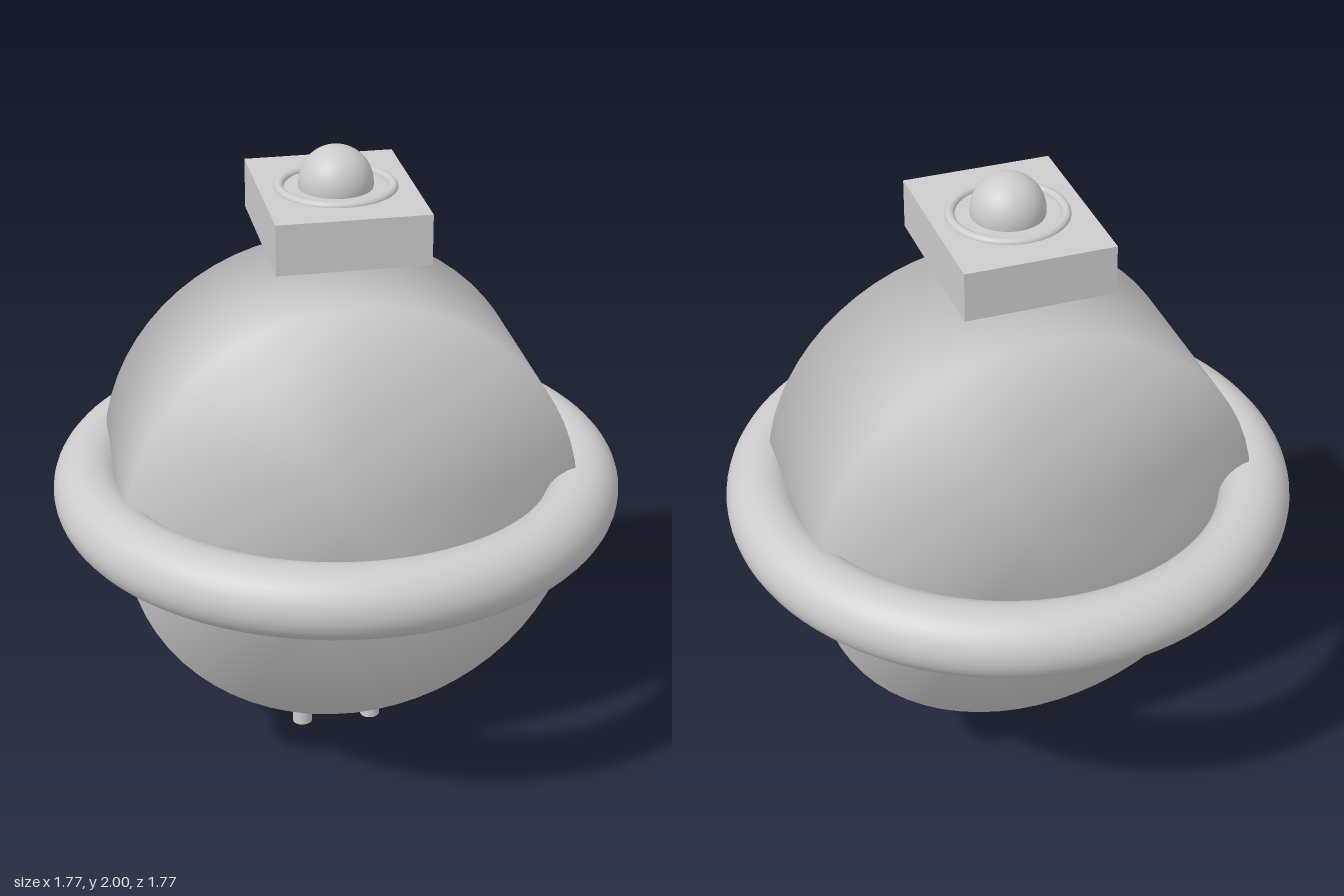
import * as THREE from 'three';

export function createModel() {
  const model = new THREE.Group();
  const grey = new THREE.MeshStandardMaterial({ color: 0xcccccc });
  grey.name = 'lightGrey';

  function add(name, geometry, x, y, z) {
    const mesh = new THREE.Mesh(geometry, grey);
    mesh.name = name;
    mesh.position.set(x, y, z);
    model.add(mesh);
    return mesh;
  }

  // Drum lying along z, with normals softened across its rims
  const drumProfile = [[0, -0.3], [0.7, -0.3], [0.7, 0.3], [0, 0.3]]
    .map(([r, h]) => new THREE.Vector2(r, h));
  const drum = new THREE.LatheGeometry(drumProfile, 64).rotateX(Math.PI / 2);
  add('bodyDrum', drum, 0, 0.909, 0);

  // Large horizontal ring around the drum
  const ring = new THREE.TorusGeometry(0.774, 0.111, 32, 96).rotateX(Math.PI / 2);
  add('bodyRing', ring, 0, 0.911, 0);

  // Floating head block with a dome and a thin collar on top
  add('headBlock', new THREE.BoxGeometry(0.46, 0.155, 0.57), 0, 1.7975, 0);
  add('headDome', new THREE.SphereGeometry(0.112, 48, 32), 0, 1.888, 0);
  const collar = new THREE.TorusGeometry(0.17, 0.015, 16, 64).rotateX(Math.PI / 2);
  add('domeCollar', collar, 0, 1.874, 0);

  // Two small floating feet
  for (const side of [-1, 1]) {
    add(side > 0 ? 'leftFoot' : 'rightFoot',
      new THREE.CylinderGeometry(0.032, 0.032, 0.085, 32), side * 0.114, 0.0425, 0);
  }

  return model;
}
